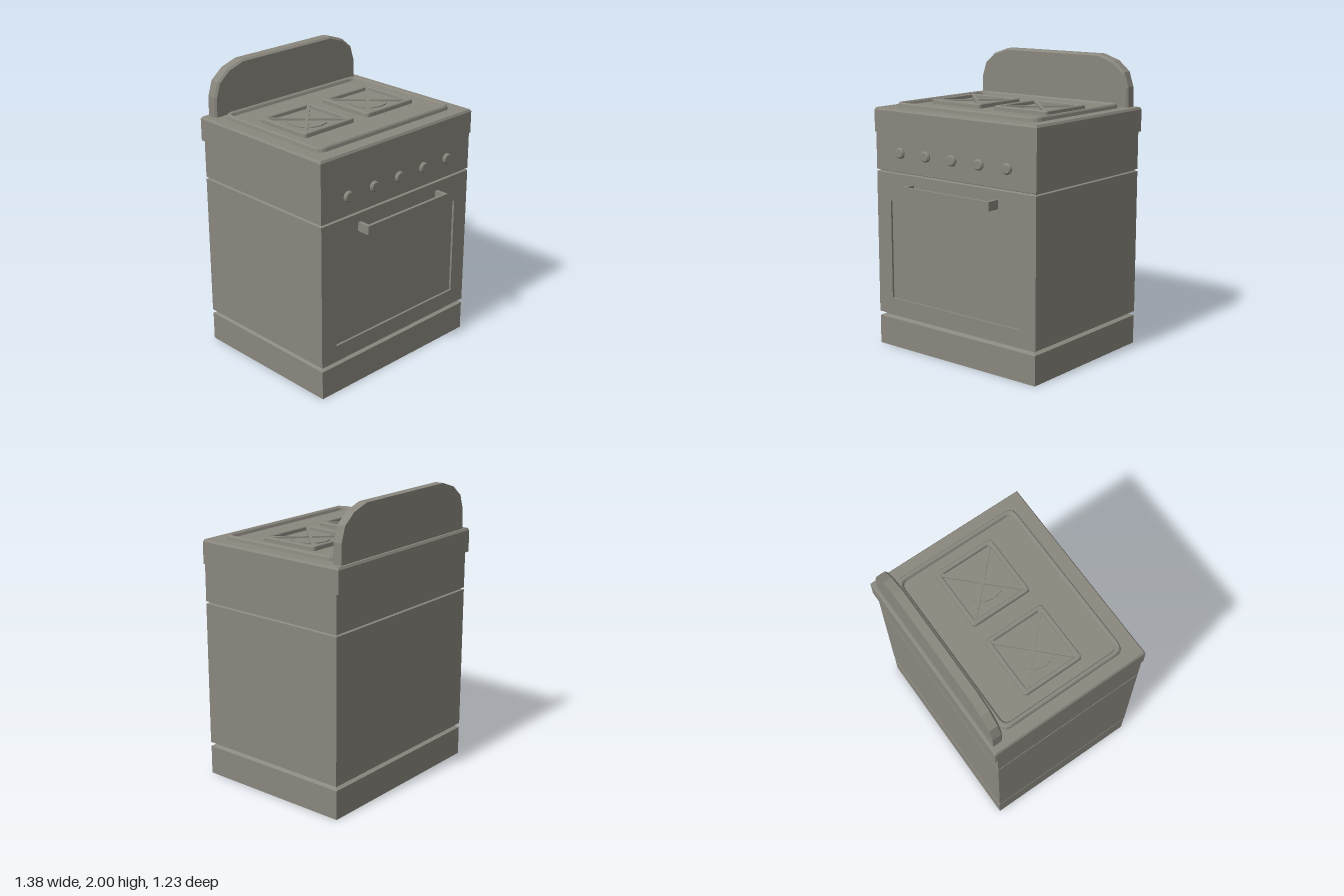
import * as THREE from 'three';

const enamel = new THREE.MeshStandardMaterial({ color: 0x8a877e, flatShading: true, side: THREE.DoubleSide });
enamel.name = 'warm grey enamel';

// Skin over matching rings of [x, y, z] points; optional end cap; skip(ring, side) leaves openings.
function loft(rings, { capEnd = false, capStart = false, skip = () => false } = {}) {
  const pos = [];
  const n = rings[0].length;
  const tri = (a, b, c) => pos.push(...a, ...b, ...c);
  for (let r = 0; r < rings.length - 1; r++) {
    for (let i = 0; i < n; i++) {
      if (skip(r, i)) continue;
      const j = (i + 1) % n, A = rings[r], B = rings[r + 1];
      tri(A[i], A[j], B[j]);
      tri(A[i], B[j], B[i]);
    }
  }
  const first = rings[0], last = rings[rings.length - 1];
  for (let i = 1; i < n - 1; i++) {
    if (capEnd) tri(last[0], last[i], last[i + 1]);
    if (capStart) tri(first[0], first[i + 1], first[i]);
  }
  const g = new THREE.BufferGeometry();
  g.setAttribute('position', new THREE.Float32BufferAttribute(pos, 3));
  g.computeVertexNormals();
  return g;
}

// Horizontal rectangle ring
const rect = (x, front, back, y) => [[x, y, front], [x, y, back], [-x, y, back], [-x, y, front]];

// Horizontal rectangle ring with rounded corners
function roundRect(hx, hz, r, cx, cz, y, seg = 3) {
  const pts = [];
  const signs = [[1, -1], [-1, -1], [-1, 1], [1, 1]];
  signs.forEach(([sx, sz], k) => {
    for (let s = 0; s <= seg; s++) {
      const t = (k + s / seg) * Math.PI / 2;
      pts.push([cx + sx * (hx - r) + r * Math.cos(t), y, cz + sz * (hz - r) - r * Math.sin(t)]);
    }
  });
  return pts;
}

function add(parent, name, geometry, x = 0, y = 0, z = 0) {
  const mesh = new THREE.Mesh(geometry, enamel);
  mesh.name = name;
  mesh.position.set(x, y, z);
  parent.add(mesh);
  return mesh;
}

export function createModel() {
  const stove = new THREE.Group();
  stove.name = 'stove';

  // Hollow body, open underneath, with two grooves and an overhanging top
  const F = 0.525, B = -0.59, W = 0.685;
  const profile = [
    [W - 0.003, F, B, 0], [W - 0.003, F, B, 0.2], [W - 0.03, F - 0.03, B + 0.03, 0.212],
    [W - 0.03, F - 0.03, B + 0.03, 0.22], [W, F, B, 0.23], [W, F, B, 1.22],
    [W - 0.015, F - 0.015, B + 0.015, 1.225], [W - 0.015, F - 0.015, B + 0.015, 1.23],
    [W, F, B, 1.235], [W, F, B, 1.49], [0.692, 0.531, -0.612, 1.49],
    [0.692, 0.531, -0.612, 1.64], [0.683, 0.522, -0.603, 1.655],
  ];
  add(stove, 'body', loft(profile.map(p => rect(...p)), {
    capEnd: true, skip: (ring, side) => ring === 4 && side === 3,
  }));

  // Oven door face with a shallow recessed window panel
  const wx = 0.56, y0 = 0.345, y1 = 1.03;
  const box = (x, a, b) => [[-x, a], [x, a], [x, b], [-x, b]].map(p => new THREE.Vector2(...p));
  const door = new THREE.Shape(box(W, 0.23, 1.22));
  door.holes.push(new THREE.Path(box(wx, y0, y1)));
  add(stove, 'ovenDoor', new THREE.ShapeGeometry(door), 0, 0, F);
  const pane = z => [[-wx, y0, z], [-wx, y1, z], [wx, y1, z], [wx, y0, z]];
  add(stove, 'ovenWindowRecess', loft([pane(F), pane(F - 0.015)]));
  add(stove, 'ovenWindow', new THREE.PlaneGeometry(wx * 2, y1 - y0), 0, (y0 + y1) / 2, F - 0.015);

  // Door handle
  const handle = new THREE.Group();
  handle.name = 'doorHandle';
  stove.add(handle);
  add(handle, 'handleBar', new THREE.BoxGeometry(0.748, 0.06, 0.02), 0.008, 1.13, 0.605);
  for (const x of [-0.354, 0.37]) {
    add(handle, 'handlePost', new THREE.BoxGeometry(0.024, 0.06, 0.075), x, 1.13, 0.56);
  }

  // Control knobs
  const knob = new THREE.LatheGeometry(
    [[0.037, 0], [0.037, 0.011], [0.028, 0.02], [0, 0.02]].map(p => new THREE.Vector2(...p)), 14);
  knob.rotateX(Math.PI / 2);
  for (let i = -2; i <= 2; i++) add(stove, 'knob', knob, i * 0.229, 1.365, F);

  // Raised bead around the hob
  const bead = [[0, 1.655], [0.004, 1.676], [0.011, 1.685], [0.024, 1.685], [0.031, 1.678], [0.037, 1.661]];
  add(stove, 'hobRim', loft(bead.map(([d, y]) =>
    roundRect(0.605 - d, 0.46 - d, 0.055 - d * 0.4, 0, -0.03, y)), { capEnd: true }));

  // Two burners: square frame, flat disc and diagonal bars
  const frame = [[0, 1.661], [0.002, 1.685], [0.007, 1.691], [0.025, 1.691], [0.03, 1.686], [0.032, 1.666]];
  for (const side of [-1, 1]) {
    const burner = new THREE.Group();
    burner.name = side < 0 ? 'rightBurner' : 'leftBurner';
    stove.add(burner);
    const cx = side * 0.277, cz = -0.033;
    add(burner, 'burnerFrame', loft(frame.map(([d, y]) =>
      roundRect(0.22 - d, 0.217 - d, 0.02 - d * 0.4, cx, cz, y, 2)), { capEnd: true }));
    add(burner, 'burnerDisc', new THREE.CylinderGeometry(0.133, 0.133, 0.008, 12), cx, 1.669, cz);
    for (const turn of [-1, 1]) {
      const bar = add(burner, 'grateBar', new THREE.BoxGeometry(0.53, 0.012, 0.022), cx, 1.682, cz);
      bar.rotation.y = turn * Math.PI / 4;
    }
  }

  // Backguard with faceted shoulders and a bevelled front edge
  const half = [[0.64, 1.65], [0.637, 1.79], [0.605, 1.89], [0.52, 1.96], [0.4, 2]];
  const outline = [...half, ...half.slice().reverse().map(([x, y]) => [-x, y])];
  const section = (z, d) => outline.map(([x, y]) =>
    [x * (1 - d / 0.64), y - d * (y - 1.65) / 0.35, z]);
  add(stove, 'backguard', loft([section(-0.59, 0), section(-0.53, 0), section(-0.517, 0.012)],
    { capStart: true, capEnd: true }));

  return stove;
}
